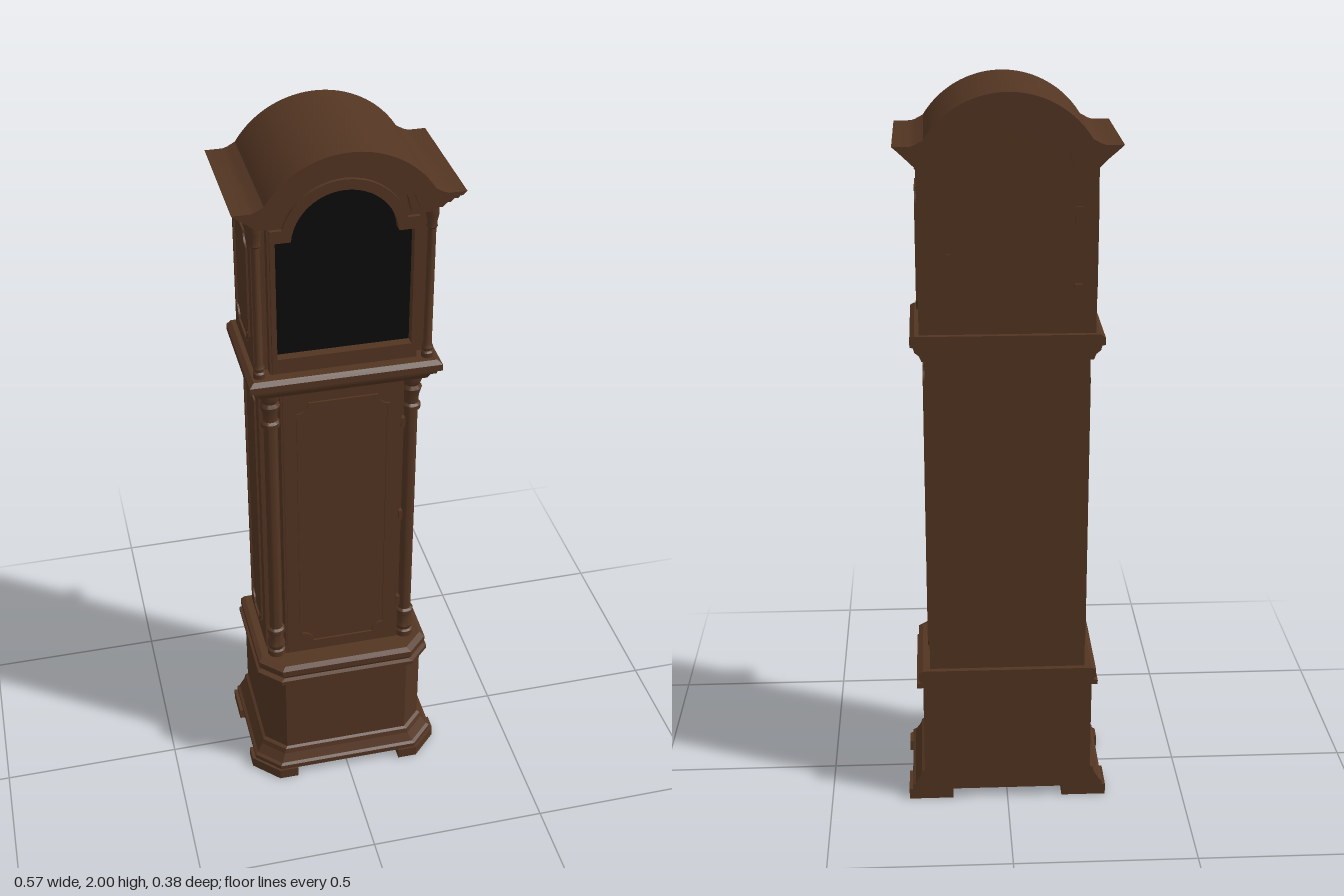
import * as THREE from 'three';
import { toCreasedNormals } from 'three/addons/utils/BufferGeometryUtils.js';

export function createModel() {
  const root = new THREE.Group();
  root.name = 'longcaseClock';
  const wood = new THREE.MeshStandardMaterial({ color: 0x533522 });
  wood.name = 'dark wood';
  const black = new THREE.MeshStandardMaterial({ color: 0x0b0b0b });
  black.name = 'black glass';

  const add = (name, geo, mat = wood, parent = root) => {
    const m = new THREE.Mesh(geo, mat);
    m.name = name;
    parent.add(m);
    return m;
  };
  // Box given by its limits
  const box = (name, x0, x1, y0, y1, z0, z1, mat) => {
    const m = add(name, new THREE.BoxGeometry(x1 - x0, y1 - y0, z1 - z0), mat);
    m.position.set((x0 + x1) / 2, (y0 + y1) / 2, (z0 + z1) / 2);
    return m;
  };
  const shapeOf = (pts) => new THREE.Shape(pts.map(([x, y]) => new THREE.Vector2(x, y)));
  const extrude = (name, shape, z0, z1, mat, parent) => {
    const g = new THREE.ExtrudeGeometry(shape, { depth: z1 - z0, bevelEnabled: false, curveSegments: 12 });
    g.translate(0, 0, z0);
    return add(name, toCreasedNormals(g, 0.4), mat, parent);
  };
  // Stack of outlines with flat back and canted front corners: [y, halfWidth, front, cant]
  const loft = (name, sections, back = -0.18) => {
    const rings = sections.map(([y, w, f, c]) => [
      [w, y, back], [w, y, f - c], [w - c, y, f], [c - w, y, f], [-w, y, f - c], [-w, y, back]]);
    const pos = [];
    const tri = (a, b, c) => pos.push(...a, ...b, ...c);
    for (let i = 0; i < rings.length - 1; i++) {
      for (let k = 0; k < 6; k++) {
        const n = (k + 1) % 6, a = rings[i], b = rings[i + 1];
        tri(a[k], b[k], b[n]);
        tri(a[k], b[n], a[n]);
      }
    }
    const lo = rings[0], hi = rings[rings.length - 1];
    for (let k = 1; k < 5; k++) {
      tri(lo[0], lo[k], lo[k + 1]);
      tri(hi[0], hi[k + 1], hi[k]);
    }
    const g = new THREE.BufferGeometry();
    g.setAttribute('position', new THREE.Float32BufferAttribute(pos, 3));
    // Lofts run front-to-back in reverse order, so turn the faces outwards
    const p = g.attributes.position;
    for (let i = 0; i < p.count; i += 3) {
      const b = [p.getX(i + 1), p.getY(i + 1), p.getZ(i + 1)];
      p.setXYZ(i + 1, p.getX(i + 2), p.getY(i + 2), p.getZ(i + 2));
      p.setXYZ(i + 2, ...b);
    }
    // Pick the winding that gives a positive volume
    let vol = 0;
    const [A, B, C] = [0, 1, 2].map(() => new THREE.Vector3());
    for (let i = 0; i < p.count; i += 3) {
      A.fromBufferAttribute(p, i); B.fromBufferAttribute(p, i + 1); C.fromBufferAttribute(p, i + 2);
      vol += A.dot(B.cross(C));
    }
    if (vol < 0) g.setAttribute('position', new THREE.Float32BufferAttribute(pos, 3));
    g.computeVertexNormals();
    return add(name, g);
  };
  // Moulded frame with scooped corners, centred on the origin
  const scooped = (w, h, c) => {
    const s = new THREE.Shape();
    s.moveTo(w, c - h);
    s.lineTo(w, h - c);
    s.absarc(w, h, c, -Math.PI / 2, -Math.PI, true);
    s.lineTo(c - w, h);
    s.absarc(-w, h, c, 0, -Math.PI / 2, true);
    s.lineTo(-w, c - h);
    s.absarc(-w, -h, c, Math.PI / 2, 0, true);
    s.lineTo(w - c, -h);
    s.absarc(w, -h, c, Math.PI, Math.PI / 2, true);
    return s;
  };
  const panel = (name, w, h, x, y, z, turn = 0) => {
    const s = scooped(w, h, 0.032);
    s.holes.push(scooped(w - 0.007, h - 0.007, 0.032));
    const m = extrude(name, s, -0.002, 0.005);
    m.position.set(x, y, z);
    m.rotation.y = turn;
  };
  const turned = (name, pts, x, z) => {
    const g = new THREE.LatheGeometry(pts.map(([r, y]) => new THREE.Vector2(r, y)), 20);
    add(name, toCreasedNormals(g, 0.6)).position.set(x, 0, z);
  };

  // Bracket feet: canted at the front, plain at the back
  for (const s of [1, -1]) {
    const foot = shapeOf([[0.155, -0.19], [0.21, -0.19], [0.28, -0.12], [0.28, -0.075],
      [0.21, -0.075], [0.155, -0.13]].map(([x, y]) => [x * s, y]));
    extrude('frontFoot', foot, 0, 0.032).rotation.x = -Math.PI / 2;
    box('backFoot', s > 0 ? 0.155 : -0.28, s > 0 ? 0.28 : -0.155, 0, 0.032, -0.18, -0.085);
  }

  // Plinth
  loft('plinthMoulding', [[0.03, 0.27, 0.185, 0.065], [0.045, 0.27, 0.185, 0.065], [0.05, 0.262, 0.177, 0.062],
    [0.075, 0.247, 0.165, 0.058], [0.09, 0.243, 0.162, 0.057], [0.095, 0.235, 0.155, 0.055]]);
  loft('plinth', [[0.09, 0.235, 0.155, 0.055], [0.37, 0.235, 0.155, 0.055]]);
  loft('waistMoulding', [[0.36, 0.252, 0.17, 0.058], [0.372, 0.252, 0.17, 0.058], [0.376, 0.24, 0.159, 0.056],
    [0.386, 0.247, 0.165, 0.057], [0.405, 0.247, 0.165, 0.057], [0.412, 0.235, 0.15, 0.055]]);

  // Trunk with recessed front corners
  box('trunk', -0.215, 0.215, 0.41, 1.33, -0.165, 0.055);
  box('trunkFront', -0.165, 0.165, 0.41, 1.33, 0.05, 0.095);
  box('trunkDoor', -0.16, 0.16, 0.425, 1.31, 0.09, 0.102);
  panel('doorPanel', 0.125, 0.415, 0, 0.865, 0.102);
  for (const y of [0.56, 0.87, 1.18]) box('doorHinge', 0.157, 0.167, y - 0.015, y + 0.015, 0.095, 0.11);

  const trunkColumn = [[0, 0.41], [0.026, 0.41], [0.026, 0.43], [0.021, 0.435], [0.026, 0.45], [0.021, 0.465],
    [0.021, 0.49], [0.025, 0.495], [0.025, 0.507], [0.018, 0.512], [0.018, 1.205], [0.025, 1.21], [0.025, 1.222],
    [0.019, 1.228], [0.02, 1.25], [0.027, 1.275], [0.021, 1.285], [0.027, 1.3], [0.027, 1.325], [0, 1.325]];
  const hoodColumn = [[0, 1.375], [0.016, 1.375], [0.016, 1.395], [0.012, 1.4], [0.015, 1.41], [0.011, 1.42],
    [0.0105, 1.75], [0.014, 1.755], [0.012, 1.765], [0.016, 1.785], [0.016, 1.81], [0, 1.81]];
  for (const s of [1, -1]) {
    turned('trunkColumn', trunkColumn, 0.19 * s, 0.08);
    turned('hoodColumn', hoodColumn, 0.22 * s, 0.108);
    panel('trunkSidePanel', 0.073, 0.415, 0.215 * s, 0.865, -0.058, s * Math.PI / 2);
    panel('hoodSidePanel', 0.087, 0.16, 0.228 * s, 1.59, -0.042, s * Math.PI / 2);
  }

  // Moulding between trunk and hood
  loft('hoodBaseMoulding', [[1.315, 0.222, 0.112, 0], [1.33, 0.228, 0.12, 0], [1.34, 0.24, 0.135, 0],
    [1.352, 0.243, 0.138, 0], [1.354, 0.252, 0.147, 0], [1.372, 0.252, 0.147, 0], [1.382, 0.24, 0.135, 0]]);

  // Hood case
  box('hoodCase', -0.228, 0.228, 1.375, 1.81, -0.165, 0.08);

  // Break-arch line, inset by d, from right to left
  const arch = (d) => {
    const pts = [[0.285 - d, 1.87 - d], [0.24 - d, 1.87 - d], [0.228 - d, 1.874 - d]];
    const a0 = 0.56, n = 40;
    for (let i = 0; i <= n; i++) {
      const a = a0 + (Math.PI - 2 * a0) * i / n;
      pts.push([(0.245 - d) * Math.cos(a), 1.755 + (0.245 - d) * Math.sin(a)]);
    }
    return [...pts, [d - 0.228, 1.874 - d], [d - 0.24, 1.87 - d], [d - 0.285, 1.87 - d]];
  };
  // Stepped arched cornice: [inset, next inset, back, front]
  const steps = [[0, 0.01, -0.195, 0.17], [0.01, 0.02, -0.19, 0.162], [0.02, 0.034, -0.185, 0.152],
    [0.034, 0.05, -0.18, 0.142], [0.05, 0.066, -0.18, 0.13]];
  for (const [d, e, back, front] of steps) {
    extrude('archCornice', shapeOf([...arch(d), ...arch(e).reverse()]), back, front);
  }
  extrude('hoodTop', shapeOf([...arch(0.06), [-0.225, 1.795], [0.225, 1.795]]), -0.165, 0.08);

  // Opening with square shoulders and a round head
  const opening = (w, y0, shoulder, r) => {
    const s = new THREE.Shape();
    const rise = shoulder - 1.745, a = Math.asin(rise / r);
    s.moveTo(-w, y0);
    s.lineTo(w, y0);
    s.lineTo(w, shoulder);
    s.absarc(0, 1.745, r, a, Math.PI - a, false);
    s.lineTo(-w, shoulder);
    return s;
  };
  const glassLine = () => opening(0.174, 1.43, 1.757, 0.135);
  const front = shapeOf([[-0.192, 1.378], [0.192, 1.378], [0.192, 1.805], ...arch(0.062), [-0.192, 1.805]]);
  front.holes.push(glassLine());
  extrude('hoodFront', front, 0.078, 0.108);
  const rim = opening(0.187, 1.39, 1.79, 0.162);
  rim.holes.push(glassLine());
  extrude('hoodDoor', rim, 0.1, 0.118);
  extrude('glass', opening(0.18, 1.42, 1.765, 0.14), 0.085, 0.092, black);

  // Rear door fittings
  for (const y of [1.49, 1.69]) box('backHinge', -0.19, -0.17, y - 0.023, y + 0.023, -0.171, -0.16);
  box('backLatch', 0.145, 0.155, 1.565, 1.595, -0.171, -0.16);

  return root;
}
